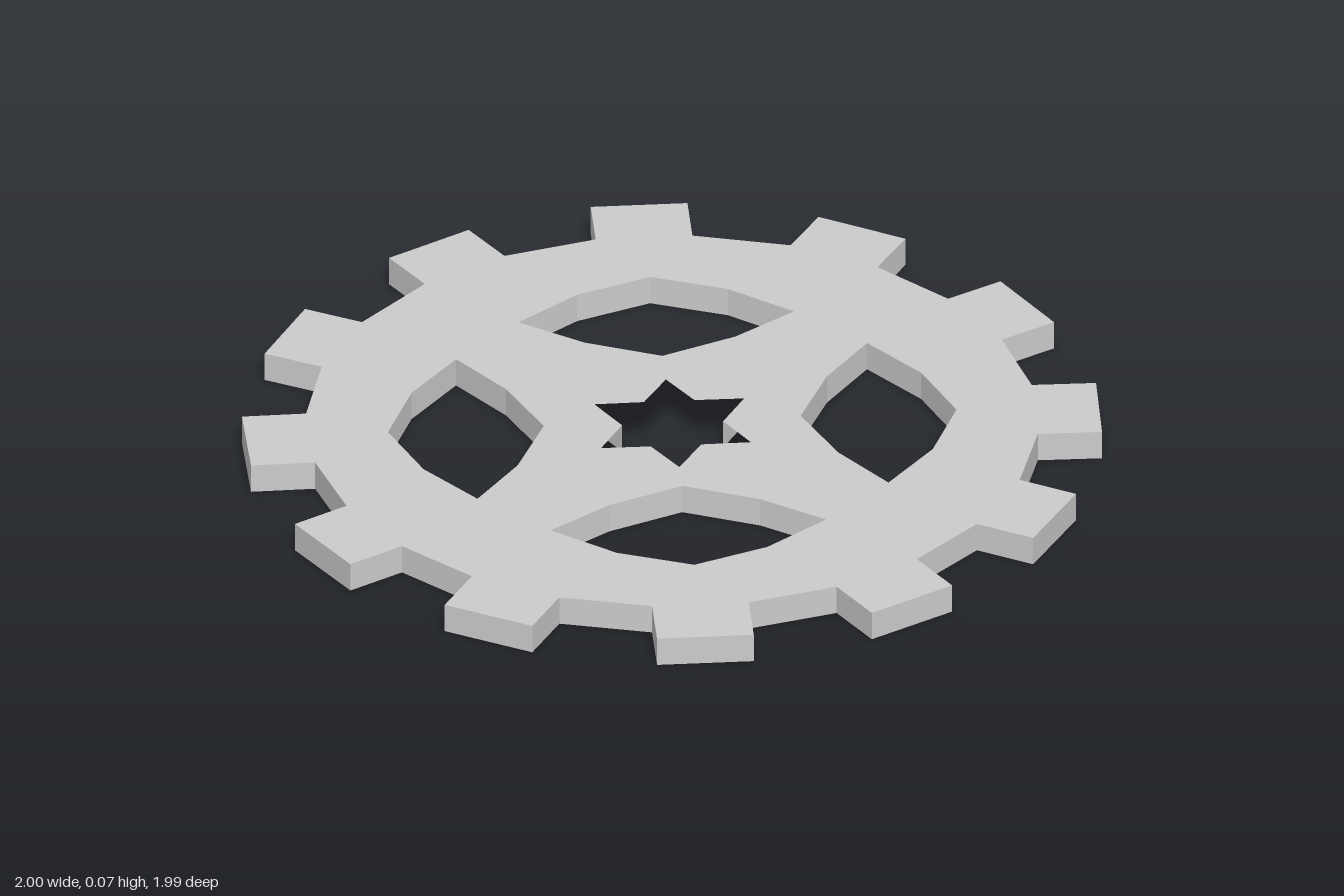
import * as THREE from 'three';

const BOTTOM = 0.009, TOP = 0.08;
const ROOT = 0.846, HALF_TOOTH = 0.113;
// slight turn of each tooth off its even 30 degree spacing, in degrees
const TURN = [0, 0.9, 0.9, 0.9, 0.6, 0.2, 0, 0, -0.4, -0.9, -1, -0.4];

// point at a distance along a direction (clockwise from the back) and a sideways shift
function polar(angle, along, side = 0) {
  const s = Math.sin(angle), c = Math.cos(angle);
  return new THREE.Vector2(s * along + c * side, c * along - s * side);
}

// toothed rim: four corners per square tooth, straight runs between teeth
function gearOutline() {
  const points = [];
  TURN.forEach((turn, i) => {
    const a = THREE.MathUtils.degToRad(i * 30 + turn);
    const tip = i % 3 === 0 ? 0.996 : 0.992;
    points.push(
      polar(a, ROOT, -HALF_TOOTH), polar(a, tip, -HALF_TOOTH),
      polar(a, tip, HALF_TOOTH), polar(a, ROOT, HALF_TOOTH));
  });
  return new THREE.Shape(points);
}

// pointed oval window, its long axis across the radius
function windowHole(angle) {
  const profile = [[0.3, 0], [0.375, 0.176], [0.48, 0.322], [0.595, 0.176],
    [0.664, 0], [0.595, -0.176], [0.48, -0.322], [0.375, -0.176]];
  return new THREE.Path(profile.map(([r, s]) => polar(angle, r, s)));
}

// six-pointed star in the middle
function starHole() {
  const points = [];
  for (let i = 0; i < 12; i++) {
    const p = polar(i * Math.PI / 6, i % 2 ? 0.118 : 0.202);
    p.y -= 0.011;
    points.push(p);
  }
  return new THREE.Path(points);
}

export function createModel() {
  const group = new THREE.Group();
  group.name = 'gear';

  const shape = gearOutline();
  for (let i = 0; i < 4; i++) shape.holes.push(windowHole(i * Math.PI / 2));
  shape.holes.push(starHole());

  // flat plate laid down on the ground
  const geometry = new THREE.ExtrudeGeometry(shape, { depth: TOP - BOTTOM, bevelEnabled: false });
  geometry.rotateX(-Math.PI / 2);
  geometry.translate(0, BOTTOM, 0);

  const plate = new THREE.Mesh(geometry,
    new THREE.MeshStandardMaterial({ color: 0xcccccc, flatShading: true }));
  plate.name = 'gearPlate';
  group.add(plate);
  return group;
}
